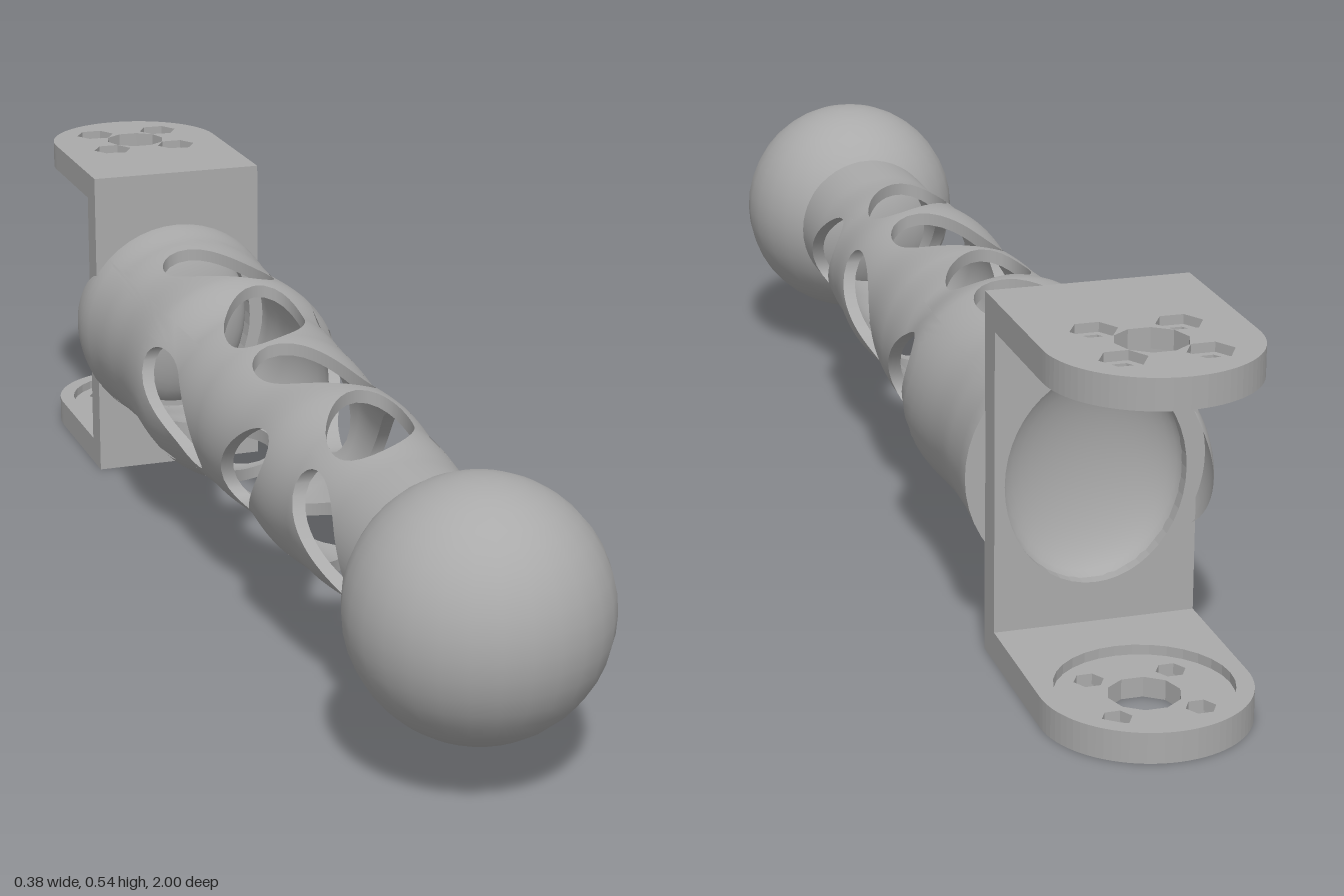
import * as THREE from 'three';
import { ParametricGeometry } from 'three/addons/geometries/ParametricGeometry.js';

const AXIS_Y = 0.265;
const WALL = 0.02;

// tube radius along z
const PROFILE = [
  [-0.59, 0.18], [-0.5, 0.172], [-0.4, 0.168], [-0.25, 0.176], [-0.12, 0.153], [0, 0.147],
  [0.15, 0.137], [0.27, 0.143], [0.4, 0.133], [0.55, 0.122], [0.68, 0.122],
];
function radiusAt(z) {
  for (let i = 1; i < PROFILE.length; i++) {
    const [z0, r0] = PROFILE[i - 1], [z1, r1] = PROFILE[i];
    if (z <= z1) return THREE.MathUtils.lerp(r0, r1, THREE.MathUtils.smoothstep(z, z0, z1));
  }
  return PROFILE[PROFILE.length - 1][1];
}

// point on the border of the square [-1, 1]^2, counter-clockwise
function squarePoint(u) {
  const t = (((u % 1) + 1) % 1) * 4, side = Math.floor(t), f = (t - side) * 2 - 1;
  return [[1, f], [-f, 1], [-1, -f], [f, -1]][side];
}

// quarter-tube cell pierced by one tilted oval window
function windowCell(cell, name, material) {
  const { z0, z1, c, a, b, tilt } = cell;
  const rimPoint = (u) => {
    const [p, q] = squarePoint(u), theta = Math.atan2(q, p), d = theta - (Math.PI / 2 - tilt);
    const rho = a * b / Math.hypot(b * Math.cos(d), a * Math.sin(d));
    return [rho * Math.cos(theta), c + rho * Math.sin(theta)];
  };
  const place = (angle, z, r, out) => out.set(r * Math.sin(angle), r * Math.cos(angle), z);
  const skin = (inset) => (u, v, out) => {
    const [p, q] = squarePoint(u), [s, zh] = rimPoint(u);
    const angleHole = Math.asin(Math.min(0.99, s / (radiusAt(zh) - inset)));
    const zEdge = q > 0 ? c + q * (z1 - c) : c + q * (c - z0);
    const z = THREE.MathUtils.lerp(zh, zEdge, v);
    place(THREE.MathUtils.lerp(angleHole, p * Math.PI / 4, v), z, radiusAt(z) - inset, out);
  };
  const outer = skin(0), inner = skin(WALL);
  const low = new THREE.Vector3(), high = new THREE.Vector3();
  const surfaces = {
    OuterSkin: [outer, 10],
    InnerSkin: [(u, v, out) => inner(u, 1 - v, out), 10],
    Rim: [(u, v, out) => {
      inner(u, 0, low);
      outer(u, 0, high);
      out.lerpVectors(low, high, v);
    }, 1],
  };
  const group = new THREE.Group();
  group.name = name;
  for (const [part, [fn, rows]] of Object.entries(surfaces)) {
    const mesh = new THREE.Mesh(new ParametricGeometry(fn, 48, rows), material);
    mesh.name = name + part;
    group.add(mesh);
  }
  return group;
}

// lug outline: square at the bracket, round at the tip (shape y = -z)
function lugShape(holes) {
  const s = new THREE.Shape();
  s.moveTo(-0.15, 0.59);
  s.lineTo(0.15, 0.59);
  s.lineTo(0.15, 0.85);
  s.absarc(0, 0.85, 0.15, 0, Math.PI, false);
  s.closePath();
  for (const [x, y, r, n] of holes) {
    const pts = [];
    for (let i = 0; i < n; i++) {
      const t = -i / n * Math.PI * 2;
      pts.push(new THREE.Vector2(x + r * Math.cos(t), y + r * Math.sin(t)));
    }
    s.holes.push(new THREE.Path(pts));
  }
  return s;
}

export function createModel() {
  const model = new THREE.Group();
  model.name = 'ballArmWithClevis';
  const grey = new THREE.MeshStandardMaterial({ color: 0xaaaaaa, side: THREE.DoubleSide });
  grey.name = 'plainGrey';
  const add = (geometry, name, parent = model) => {
    const mesh = new THREE.Mesh(geometry, grey);
    mesh.name = name;
    parent.add(mesh);
    return mesh;
  };

  // ball end
  add(new THREE.SphereGeometry(0.188, 28, 20), 'ball').position.set(0, AXIS_Y, 0.812);

  // hollow arm, four quarters with windows
  const T = 0.44, S = 0.61;
  const long = { a: 0.12, b: 0.065 }, short = { a: 0.12, b: 0.055 };
  const upright = [
    { z0: -0.59, z1: -0.225, c: -0.35, tilt: T, ...long },
    { z0: -0.225, z1: 0.02, c: -0.1, tilt: -T, ...long },
    { z0: 0.02, z1: 0.265, c: 0.14, tilt: T, ...long },
    { z0: 0.265, z1: 0.68, c: 0.39, tilt: -T, ...long },
  ];
  const sideways = [
    { z0: -0.59, z1: 0.03, c: -0.13, tilt: -S, ...short },
    { z0: 0.03, z1: 0.35, c: 0.19, tilt: S, ...short },
    { z0: 0.35, z1: 0.68, c: 0.51, tilt: -S, ...short },
  ];
  const arm = new THREE.Group();
  arm.name = 'arm';
  arm.position.y = AXIS_Y;
  model.add(arm);
  for (const [name, cells, turn, sign] of [
    ['top', upright, 0, 1], ['bottom', upright, Math.PI, -1],
    ['left', sideways, -Math.PI / 2, -1], ['right', sideways, Math.PI / 2, 1],
  ]) {
    const quarter = new THREE.Group();
    quarter.name = name + 'Quarter';
    quarter.rotation.z = turn;
    for (const cell of cells) {
      quarter.add(windowCell({ ...cell, tilt: cell.tilt * sign }, name + 'Window', grey));
    }
    arm.add(quarter);
  }
  const end = add(new THREE.RingGeometry(0.15, 0.18, 48), 'armEnd', arm);
  end.rotation.y = Math.PI;
  end.position.z = -0.59;

  // lip of the arm that runs past the bracket on the right side
  add(new ParametricGeometry((u, v, out) => {
    const phi = (u * 2 - 1) * 0.62;
    const reach = 0.11 * Math.sqrt(Math.max(0, 1 - (u * 2 - 1) ** 2));
    const r = 0.18 - 0.025 * v * v * reach / 0.11;
    out.set(-r * Math.cos(phi), r * Math.sin(phi), -0.58 - reach * v);
  }, 20, 6), 'sideLip', arm);

  // bracket back plate with a dished opening
  const plate = new THREE.Shape();
  plate.moveTo(-0.15, 0);
  plate.lineTo(0.15, 0);
  plate.lineTo(0.15, 0.54);
  plate.lineTo(-0.15, 0.54);
  plate.closePath();
  const opening = new THREE.Path();
  opening.absellipse(0, AXIS_Y, 0.135, 0.16, 0, Math.PI * 2, true);
  plate.holes.push(opening);
  add(new THREE.ExtrudeGeometry(plate, { depth: 0.048, bevelEnabled: false, curveSegments: 24 }), 'backPlate')
    .position.z = -0.635;
  const dish = add(new THREE.SphereGeometry(1, 32, 10, 0, Math.PI * 2, 0, Math.PI / 2).rotateX(Math.PI / 2), 'dish');
  dish.scale.set(0.137, 0.162, 0.06);
  dish.position.set(0, AXIS_Y, -0.625);

  // lugs: countersunk outer layer, drilled middle, round recess inside
  const bolts = (r) => [[0, 0.85, 0.052, 10],
    ...[[1, 1], [1, -1], [-1, 1], [-1, -1]].map(([i, j]) => [i * 0.06, 0.85 + j * 0.06, r, 6])];
  const layers = [
    ['OuterLayer', 0, 0.014, bolts(0.034)],
    ['MiddleLayer', 0.014, 0.016, bolts(0.022)],
    ['InnerLayer', 0.03, 0.015, [[0, 0.85, 0.125, 32]]],
  ];
  for (const [part, y, depth, holes] of layers) {
    const make = () => new THREE.ExtrudeGeometry(lugShape(holes), { depth, bevelEnabled: false, curveSegments: 20 })
      .rotateX(-Math.PI / 2);
    add(make(), 'lowerLug' + part).position.y = y;
    add(make(), 'upperLug' + part).position.y = 0.54 - y - depth;
  }
  return model;
}
